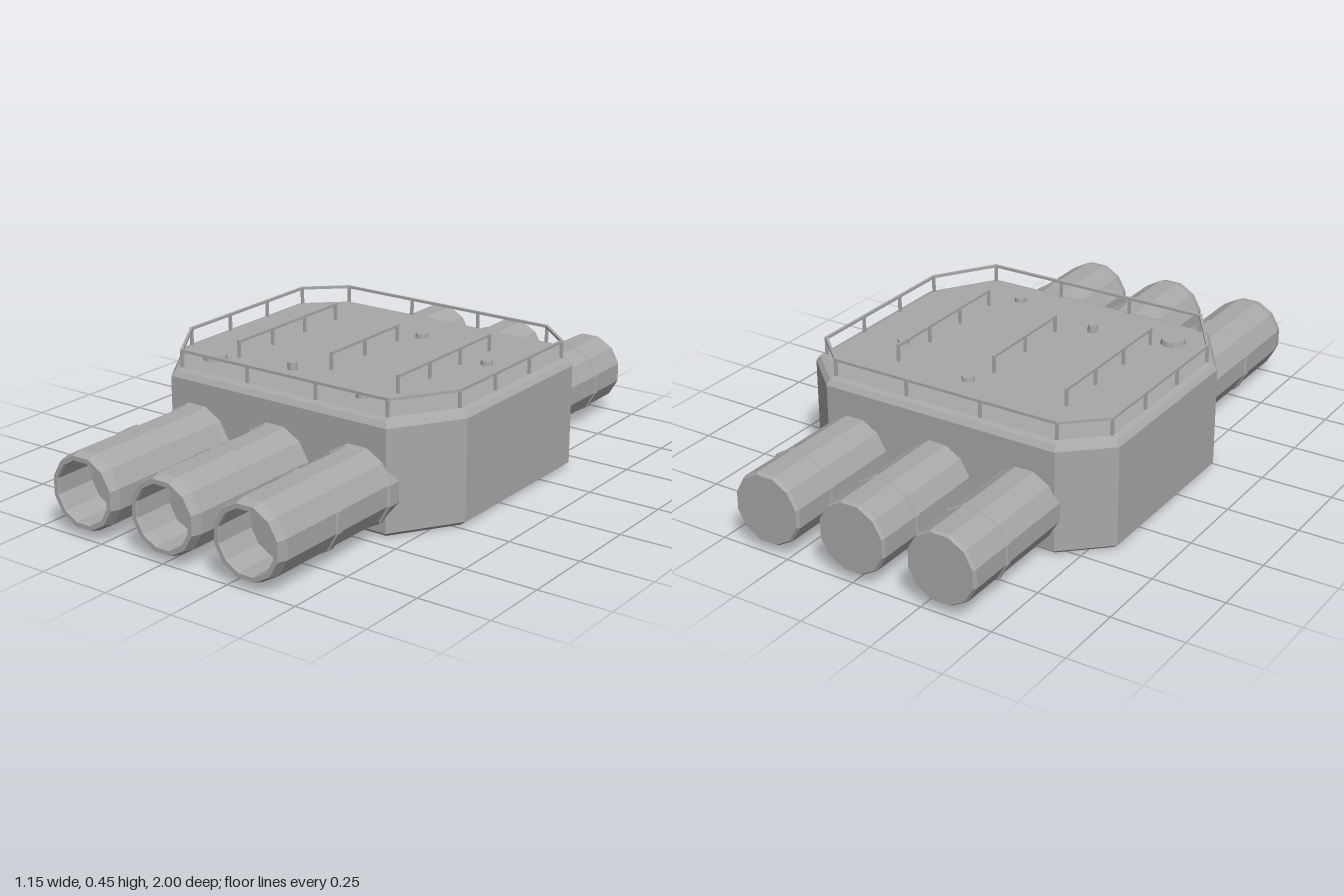
import * as THREE from 'three';

const metal = new THREE.MeshStandardMaterial({ color: 0xa8a8a8 });
metal.name = 'grey metal';

const DECK = 0.385, RAIL = 0.442, BAR = 0.009;

// Facet normals for a crisp low-poly look
function flat(geo) {
  const g = geo.index ? geo.toNonIndexed() : geo;
  g.computeVertexNormals();
  return g;
}

function add(parent, name, geo, x = 0, y = 0, z = 0) {
  const mesh = new THREE.Mesh(geo, metal);
  mesh.name = name;
  mesh.position.set(x, y, z);
  parent.add(mesh);
  return mesh;
}

// Hull outline (x, z), counterclockwise seen from above
const half = [[0.43, 0.455], [0.577, 0.23], [0.577, -0.41], [0.43, -0.545]];
const outline = [...half, ...half.map(([x, z]) => [-x, z]).reverse()]
  .map(([x, z]) => new THREE.Vector2(x, z));

// Outline moved inwards by d with mitred corners
function inset(d) {
  const n = outline.length;
  const inward = (a, b) => new THREE.Vector2(b.y - a.y, a.x - b.x).normalize();
  return outline.map((p, i) => {
    const n1 = inward(outline[(i + n - 1) % n], p);
    const n2 = inward(p, outline[(i + 1) % n]);
    const m = n1.clone().add(n2);
    return p.clone().addScaledVector(m, d / (1 + n1.dot(n2)));
  });
}

// Eight-sided hull from stacked outlines, bevelled above and below
function hullGeometry() {
  const levels = [[0, 0.02], [0.016, 0], [0.36, 0], [0.378, 0.013], [DECK, 0.032]];
  const rings = levels.map(([y, d]) => inset(d).map(p => [p.x, y, p.y]));
  const pos = [], n = outline.length;
  const tri = (a, b, c) => pos.push(...a, ...b, ...c);
  for (let k = 0; k < rings.length - 1; k++) {
    for (let i = 0; i < n; i++) {
      const j = (i + 1) % n, lo = rings[k], hi = rings[k + 1];
      tri(lo[i], lo[j], hi[j]);
      tri(lo[i], hi[j], hi[i]);
    }
  }
  const bottom = rings[0], top = rings[rings.length - 1];
  for (let i = 1; i < n - 1; i++) {
    tri(top[0], top[i], top[i + 1]);
    tri(bottom[0], bottom[i + 1], bottom[i]);
  }
  const g = new THREE.BufferGeometry();
  g.setAttribute('position', new THREE.Float32BufferAttribute(pos, 3));
  return flat(g);
}

// Twelve-sided tube with a flat on top; profile is [distance to flat, length]
function tubeGeometry(profile, dir) {
  const pts = profile.map(([r, l]) => new THREE.Vector2(r / Math.cos(Math.PI / 12), l));
  const g = new THREE.LatheGeometry(pts, 12, Math.PI / 12);
  g.rotateX(dir * Math.PI / 2);
  return flat(g);
}

// Square bar between two points
function bar(parent, name, a, b) {
  const mesh = add(parent, name, new THREE.BoxGeometry(BAR, BAR, a.distanceTo(b) + BAR));
  mesh.position.copy(a).lerp(b, 0.5);
  mesh.lookAt(b);
}

// Rail from a to b with posts at the given number of equal steps
function railRun(parent, a, b, steps, lastPost) {
  bar(parent, 'railBar', a, b);
  for (let i = 0; i < steps + (lastPost ? 1 : 0); i++) {
    const p = a.clone().lerp(b, i / steps);
    add(parent, 'railPost', new THREE.BoxGeometry(BAR, RAIL - DECK, BAR),
      p.x, (RAIL + DECK) / 2, p.z);
  }
}

export function createModel() {
  const model = new THREE.Group();
  model.name = 'dockingBlock';

  add(model, 'hull', hullGeometry());

  // Open front tubes with a base collar, a ring and a recessed floor
  const front = tubeGeometry([
    [0, 0.36], [0.133, 0.36], [0.133, 0.465], [0.126, 0.472],
    [0.126, 0.703], [0.131, 0.707], [0.131, 0.728], [0.126, 0.732],
    [0.126, 0.965], [0.117, 1], [0.102, 1], [0.1, 0.99], [0.1, 0.85], [0, 0.85],
  ], 1);
  // Closed rear tubes with a thin ring
  const rear = tubeGeometry([
    [0, 0.5], [0.12, 0.5], [0.12, 0.816], [0.125, 0.819], [0.125, 0.832], [0.12, 0.835],
    [0.12, 0.988], [0.114, 1], [0, 1],
  ], -1);
  for (const x of [-0.323, 0, 0.321]) {
    add(model, 'frontTube', front, x, 0.15, 0);
    add(model, 'rearTube', rear, x, 0.153, 0);
  }

  // Guard rail round the deck edge
  const guard = new THREE.Group();
  guard.name = 'guardRail';
  model.add(guard);
  const corners = inset(0.035).map(p => new THREE.Vector3(p.x, RAIL, p.y));
  corners.forEach((a, i) => {
    const b = corners[(i + 1) % corners.length];
    railRun(guard, a, b, a.distanceTo(b) > 0.4 ? 3 : 1, false);
  });

  // Three straight rails on the deck
  const inner = new THREE.Group();
  inner.name = 'deckRails';
  model.add(inner);
  for (const [x, z0, z1, steps] of [[-0.322, -0.3, 0.235, 3], [0, -0.22, 0.155, 2], [0.31, -0.315, 0.22, 3]]) {
    railRun(inner, new THREE.Vector3(x, RAIL, z0), new THREE.Vector3(x, RAIL, z1), steps, true);
  }

  // Small round vents and a larger hatch
  for (const [name, x, z, r, h] of [
    ['vent', 0.04, -0.31, 0.022, 0.015], ['vent', 0.38, -0.19, 0.021, 0.015],
    ['vent', 0.24, 0.315, 0.021, 0.015], ['vent', -0.105, 0.226, 0.017, 0.026],
    ['hatch', -0.38, 0.288, 0.043, 0.018],
  ]) {
    add(model, name, flat(new THREE.CylinderGeometry(r * 0.93, r, h, 12)), x, DECK + h / 2, z);
  }

  return model;
}
